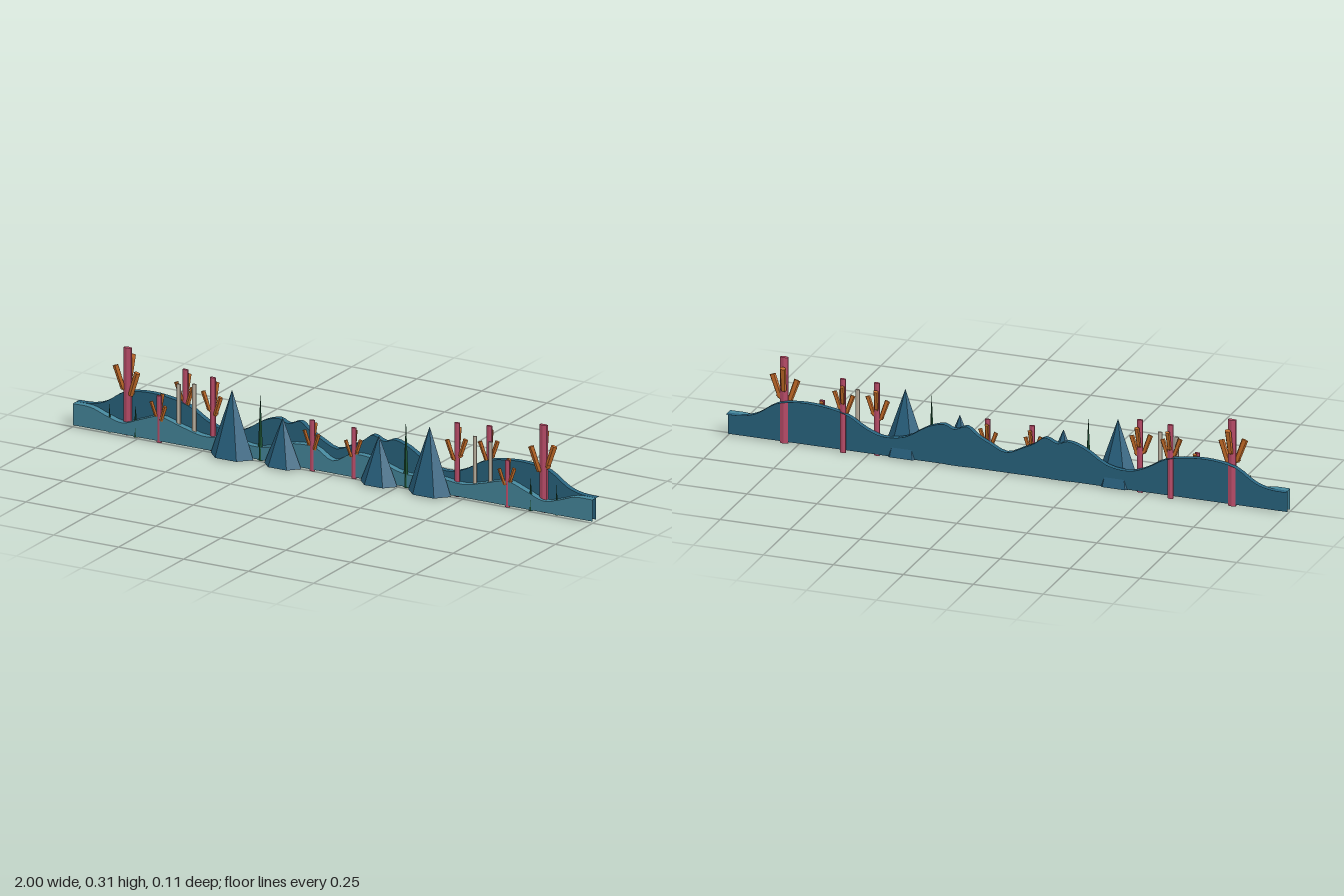
import * as THREE from 'three';

const mat = (name, color, opts = {}) => {
  const m = new THREE.MeshStandardMaterial({ color, ...opts });
  m.name = name;
  return m;
};

export function createModel() {
  const model = new THREE.Group();
  model.name = 'reefBackdrop';
  const flat = { flatShading: true };
  const frontBlue = mat('light reef blue', 0x45869b, { side: THREE.DoubleSide });
  const backBlue = mat('deep reef blue', 0x28627c, { side: THREE.DoubleSide });
  const rockBlue = mat('rock blue', 0x2a6482, flat);
  const pink = mat('coral pink', 0xbf4f6c, flat);
  const orange = mat('coral orange', 0xc56c28, flat);
  const tan = mat('pale sponge', 0xc4b8a6, flat);
  const green = mat('seaweed green', 0x1d5636, flat);

  const add = (parent, name, geo, material, x = 0, y = 0, z = 0) => {
    const mesh = new THREE.Mesh(geo, material);
    mesh.name = name;
    mesh.position.set(x, y, z);
    parent.add(mesh);
    return mesh;
  };

  // Open sheet from rows of points (all rows equally long)
  const sheet = (rows) => {
    const n = rows[0].length, pos = [], idx = [];
    rows.forEach((r) => r.forEach((p) => pos.push(...p)));
    for (let r = 0; r < rows.length - 1; r++) {
      for (let i = 0; i < n - 1; i++) {
        const a = r * n + i, b = a + n;
        idx.push(a, a + 1, b, a + 1, b + 1, b);
      }
    }
    const g = new THREE.BufferGeometry();
    g.setAttribute('position', new THREE.Float32BufferAttribute(pos, 3));
    g.setIndex(idx);
    g.computeVertexNormals();
    return g;
  };

  // Hill: upright wall with a ledge running back from its skyline
  const hill = (name, half, zFront, zBack, material) => {
    const pts = [
      ...half.slice(1).reverse().map(([x, y]) => new THREE.Vector3(-x, y, 0)),
      ...half.map(([x, y]) => new THREE.Vector3(x, y, 0)),
    ];
    const line = new THREE.CatmullRomCurve3(pts, false, 'centripetal').getPoints(96);
    const row = (z, base) => line.map((p) => [p.x, base ?? p.y, z]);
    const g = new THREE.Group();
    g.name = name;
    add(g, name + 'Wall', sheet([row(zFront, 0.006), row(zFront)]), material);
    add(g, name + 'Ledge', sheet([row(zFront), row(zBack)]), material);
    model.add(g);
  };
  hill('frontHill', [[0, 0.05], [0.07, 0.085], [0.15, 0.085], [0.28, 0.05], [0.4, 0.06],
    [0.5, 0.052], [0.58, 0.07], [0.67, 0.092], [0.74, 0.07], [0.81, 0.046], [0.87, 0.06],
    [0.93, 0.08], [1, 0.082]], 0, -0.024, frontBlue);
  hill('backHill', [[0, 0.085], [0.06, 0.11], [0.1, 0.13], [0.14, 0.158], [0.185, 0.142],
    [0.22, 0.155], [0.28, 0.138], [0.36, 0.09], [0.44, 0.08], [0.5, 0.1], [0.57, 0.14],
    [0.66, 0.158], [0.74, 0.16], [0.82, 0.145], [0.89, 0.1], [0.94, 0.085], [1, 0.082]],
  -0.024, -0.044, backBlue);

  // Coral: a pole with three angled stubs, flattened front to back
  const coral = (side, x, z, h, r, armY, s) => {
    const g = new THREE.Group();
    g.name = 'coral';
    g.position.set(side * x, 0, z);
    g.scale.set(side, 1, 0.5);
    add(g, 'coralStem', new THREE.CylinderGeometry(r, r, h, 6).translate(0, h / 2, 0), pink);
    [[0.15, 0, 0.085], [2.8, -0.015, 0.09], [4.6, 0.035, 0.09]].forEach(([a, dy, len]) => {
      const dir = new THREE.Vector3(Math.cos(a) * 0.36, 1, -Math.sin(a) * -0.36).normalize();
      const arm = add(g, 'coralArm', new THREE.CylinderGeometry(0.012 * s, 0.010 * s, len * s, 5), orange,
        Math.cos(a) * 0.03 * s, armY + dy * s, Math.sin(a) * 0.04 * s);
      arm.quaternion.setFromUnitVectors(new THREE.Vector3(0, 1, 0), dir);
      // short joint linking the stub to the stem
      const joint = add(g, 'coralJoint', new THREE.CylinderGeometry(0.008 * s, 0.008 * s, 0.035 * s, 5), orange,
        Math.cos(a) * 0.012 * s, armY + (dy - 0.04) * s, Math.sin(a) * 0.016 * s);
      joint.quaternion.setFromUnitVectors(new THREE.Vector3(0, 1, 0),
        new THREE.Vector3(Math.cos(a), 0.8, Math.sin(a)).normalize());
    });
    model.add(g);
  };

  for (const side of [-1, 1]) {
    // Six-sided pointed rocks
    for (const [x, h, r] of [[0.38, 0.235, 0.082], [0.185, 0.17, 0.071]]) {
      const geo = new THREE.ConeGeometry(r, h, 6, 1, false, Math.PI / 6).scale(1, 1, 0.6);
      add(model, 'pointedRock', geo, rockBlue, side * x, 0.005 + h / 2, 0.0125);
    }

    // Corals: x, z, height, stem radius, arm height, arm scale
    for (const c of [
      [0.8, -0.02, 0.308, 0.016, 0.2, 1],
      [0.585, -0.032, 0.264, 0.011, 0.185, 0.75],
      [0.47, -0.016, 0.26, 0.011, 0.175, 0.8],
      [0.67, -0.004, 0.165, 0.01, 0.115, 0.65],
      [0.08, -0.003, 0.18, 0.01, 0.115, 0.65],
    ]) coral(side, ...c);

    // Pale tube sponges
    for (const [x, h] of [[0.54, 0.225], [0.6, 0.215]]) {
      add(model, 'tubeSponge', new THREE.CylinderGeometry(0.008, 0.008, h - 0.01, 6).scale(1, 1, 0.5),
        tan, side * x, h / 2 + 0.005, -0.013);
    }

    // Seaweed blades
    for (const [x, h, r] of [[0.28, 0.24, 0.011], [0.76, 0.115, 0.009], [0.86, 0.11, 0.006]]) {
      add(model, 'seaweed', new THREE.ConeGeometry(r, h, 4).scale(1, 1, 0.5),
        green, side * x, h / 2 + 0.003, -0.003);
    }
  }
  return model;
}
